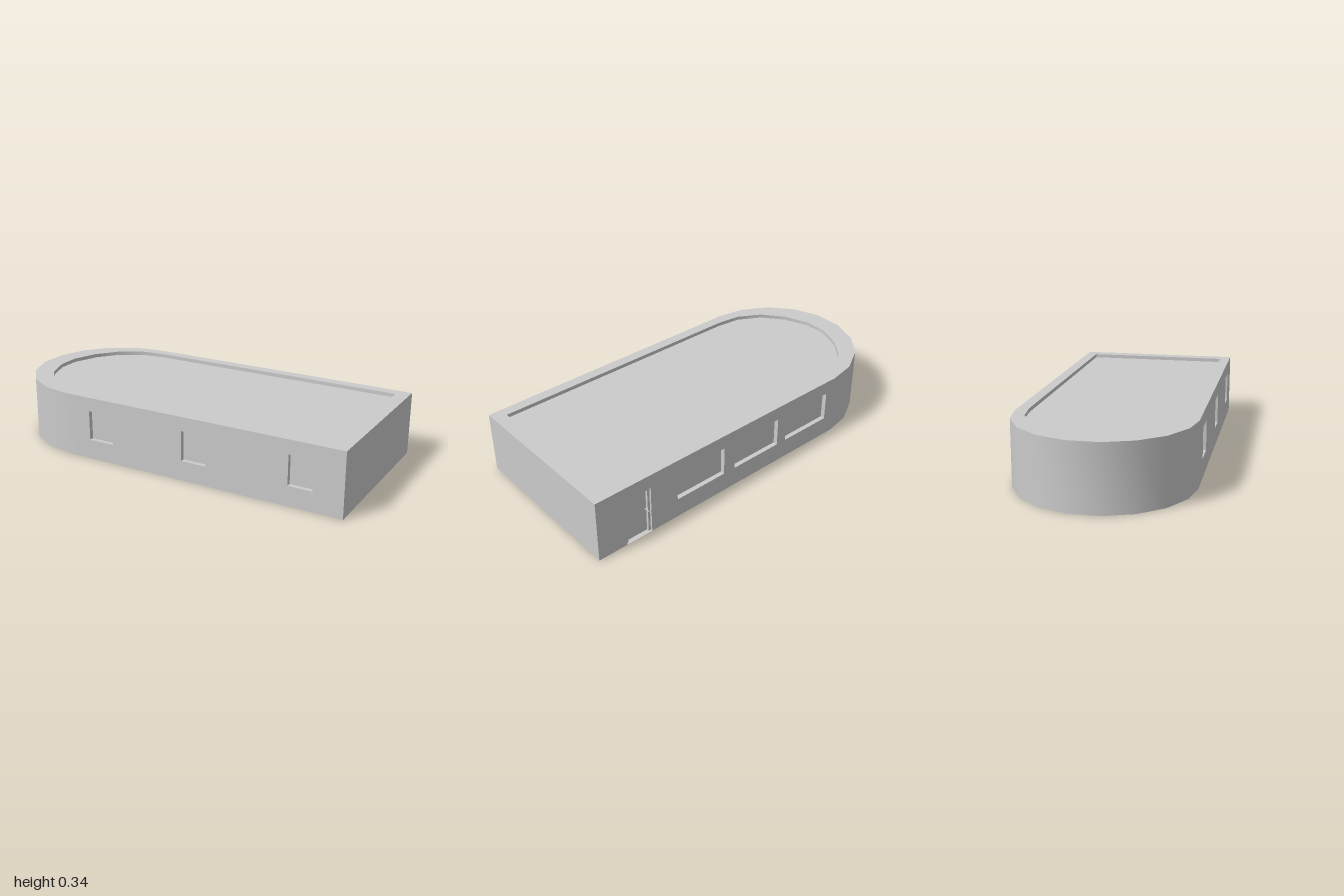
import * as THREE from 'three';
import { toCreasedNormals } from 'three/addons/utils/BufferGeometryUtils.js';

const H = 0.337;         // wall height
const ROOF = 0.317;      // sunken roof level
const ZO = 0.452;        // outer half depth
const ZI = 0.395;        // inner half depth
const XS = -0.5;         // where the straight walls meet the rounded end
const XI = 0.93;         // inner face of the end wall
const WIN_Y = [0.105, 0.263];

// Half profiles of the rounded end, from the tip to the straight wall
const outerHalf = [[-1, 0.08], [-0.945, 0.225], [-0.845, 0.345], [-0.705, 0.425], [-0.56, ZO], [XS, ZO]];
const innerHalf = [[-0.89, 0.06], [-0.84, 0.195], [-0.75, 0.308], [-0.63, 0.377], [XS, ZI]];

// Full curve from the -z side round the tip to the +z side
const fullCurve = (half) => [
  ...half.map(([x, z]) => [x, -z]).reverse(),
  ...half,
];

const toShape = (pts) => new THREE.Shape(pts.map(([x, y]) => new THREE.Vector2(x, y)));

// Open sheet spanning two matching polylines
function strip(a, b) {
  const index = [];
  for (let i = 0; i < a.length - 1; i++) {
    const j = i + a.length;
    index.push(i, j, i + 1, i + 1, j, j + 1);
  }
  const g = new THREE.BufferGeometry();
  g.setAttribute('position', new THREE.Float32BufferAttribute([...a, ...b].flat(), 3));
  g.setIndex(index);
  return toCreasedNormals(g, 0.6);
}

export function createModel() {
  const group = new THREE.Group();
  const material = new THREE.MeshStandardMaterial({ color: 0xcccccc, side: THREE.DoubleSide });

  const add = (name, geometry, parent = group) => {
    const mesh = new THREE.Mesh(geometry, material);
    mesh.name = name;
    parent.add(mesh);
    return mesh;
  };

  // Box given by its limits on each axis
  const box = (name, x0, x1, y0, y1, z0, z1, parent = group) =>
    add(name, new THREE.BoxGeometry(x1 - x0, y1 - y0, z1 - z0), parent)
      .position.set((x0 + x1) / 2, (y0 + y1) / 2, (z0 + z1) / 2);

  // Upright sheet following a plan outline (x, z)
  const upright = (name, pts, y1) =>
    add(name, strip(pts.map(([x, z]) => [x, 0, z]), pts.map(([x, z]) => [x, y1, z])));

  // Level sheet filling a plan outline (x, z), with an optional hole
  const level = (name, pts, y, hole) => {
    const shape = toShape(pts.map(([x, z]) => [x, -z]));
    if (hole) shape.holes.push(toShape(hole.map(([x, z]) => [x, -z])));
    add(name, new THREE.ShapeGeometry(shape).rotateX(-Math.PI / 2).translate(0, y, 0));
  };

  // Long outer wall with windows and an optional doorway
  const longWall = (name, side, windows, door) => {
    const reveal = (pts) => add(name + 'Reveal', strip(
      pts.map(([x, y]) => [x, y, side * ZO]),
      pts.map(([x, y]) => [x, y, side * ZI]),
    ));
    const pts = [[XS, 0]];
    if (door) {
      const opening = [[door[0], 0], [door[0], door[2]], [door[1], door[2]], [door[1], 0]];
      pts.push(...opening);
      reveal(opening);
    }
    pts.push([1, 0], [1, H], [XS, H]);
    const shape = toShape(pts);
    const [y0, y1] = WIN_Y;
    for (const [a, b] of windows) {
      const opening = [[a, y0], [a, y1], [b, y1], [b, y0]];
      shape.holes.push(toShape(opening));
      reveal([...opening, opening[0]]);
      // Pane set back in the opening
      const zc = side * (ZO - 0.029);
      box(name + 'Pane', a, b, y0, y1, zc - 0.005, zc + 0.005);
    }
    add(name, new THREE.ShapeGeometry(shape).translate(0, 0, side * ZO));
  };

  const door = [0.69, 0.838, 0.263];
  const outer = [...fullCurve(outerHalf), [1, ZO], [1, -ZO]];
  const inner = [...fullCurve(innerHalf), [XI, ZI], [XI, -ZI]];

  // Outer skin
  longWall('frontWall', 1, [[-0.41, -0.266], [0.144, 0.281], [0.72, 0.845]]);
  longWall('backWall', -1, [[-0.5, -0.2], [-0.14, 0.16], [0.23, 0.53]], door);
  upright('roundedWall', fullCurve(outerHalf), H);
  upright('endWall', [[1, ZO], [1, -ZO]], H);

  // Inner skin, with the hollow between the skins open underneath
  upright('innerWall', [...inner, inner[0]], H);
  level('wallTop', outer, H, inner);
  level('roof', inner, ROOF);
  level('floor', inner, 0);
  level('threshold', [[door[0], -ZO], [door[1], -ZO], [door[1], -ZI], [door[0], -ZI]], 0);

  // Door with frame and handle
  const doorway = new THREE.Group();
  doorway.name = 'door';
  group.add(doorway);
  const [d0, d1, top] = door;
  const f = 0.013;
  box('frameSide', d0, d0 + f, 0, top, -0.441, -0.41, doorway);
  box('frameSide', d1 - f, d1, 0, top, -0.441, -0.41, doorway);
  box('frameTop', d0 + f, d1 - f, top - f, top, -0.441, -0.41, doorway);
  box('doorPanel', d0 + f, d1 - f, 0, top - f, -0.428, -0.415, doorway);
  box('handle', 0.698, 0.714, 0.135, 0.139, -0.461, -0.457, doorway);
  box('handleStem', 0.71, 0.714, 0.135, 0.139, -0.457, -0.428, doorway);

  // Centre the depth, handle included
  group.children.forEach((part) => { part.position.z += 0.004; });
  return group;
}
